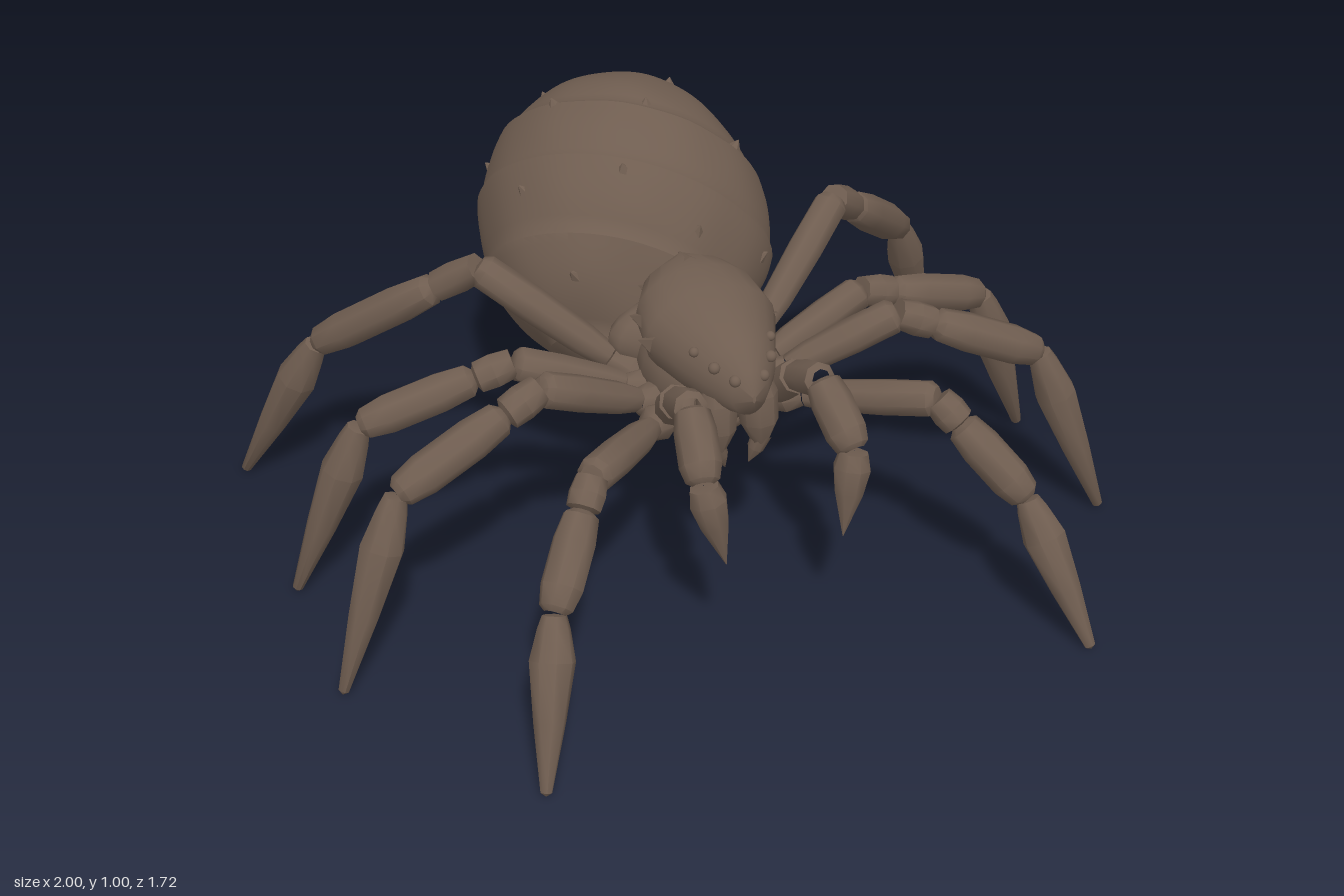
import * as THREE from 'three';
import { mergeVertices, toCreasedNormals } from 'three/addons/utils/BufferGeometryUtils.js';

const V = (x, y, z) => new THREE.Vector3(x, y, z);
const UP = V(0, 1, 0);

export function createModel() {
  const model = new THREE.Group();
  model.name = 'spider';
  const brown = new THREE.MeshStandardMaterial({ color: 0x6f5d50 });
  brown.name = 'dark brown';

  const add = (parent, geometry, name) => {
    const mesh = new THREE.Mesh(geometry, brown);
    mesh.name = name;
    parent.add(mesh);
    return mesh;
  };

  // Tapered limb segment from a to b; profile lists [fraction along, radius]
  const segment = (parent, a, b, profile, name, sides = 8) => {
    const dir = b.clone().sub(a);
    const len = dir.length();
    const pts = profile.map(([t, r]) => new THREE.Vector2(r, t * len));
    const g = toCreasedNormals(new THREE.LatheGeometry(pts, sides), 0.8);
    const mesh = add(parent, g, name);
    mesh.position.copy(a);
    mesh.quaternion.setFromUnitVectors(UP, dir.normalize());
    return mesh;
  };

  const ball = (parent, p, rx, ry, rz, name) => {
    const mesh = add(parent, new THREE.SphereGeometry(1, 16, 12), name);
    mesh.position.copy(p);
    mesh.scale.set(rx, ry, rz);
    return mesh;
  };

  const thorn = (parent, p, dir, r, h, name) =>
    segment(parent, p, p.clone().addScaledVector(dir, h), [[0, r], [1, 0.001]], name, 6);

  // Closed skin over elliptical rings [z, half width, top, bottom], front to back
  const loft = (rings, n) => {
    const pos = [], idx = [];
    rings.forEach(([z, w, top, bot]) => {
      for (let j = 0; j < n; j++) {
        const a = (j / n) * Math.PI * 2;
        pos.push(w * Math.cos(a), (top + bot) / 2 + ((top - bot) / 2) * Math.sin(a), z);
      }
    });
    for (let i = 0; i < rings.length - 1; i++) {
      for (let j = 0; j < n; j++) {
        const a = i * n + j, b = i * n + (j + 1) % n;
        idx.push(a, a + n, b, b, a + n, b + n);
      }
    }
    const g = new THREE.BufferGeometry();
    g.setAttribute('position', new THREE.Float32BufferAttribute(pos, 3));
    g.setIndex(idx);
    return toCreasedNormals(g, 0.8);
  };

  // Abdomen: shell with overlapping slanted plates, fuller low at the front and at the front sides
  const centre = V(0, 0.622, -0.452);
  const radii = V(0.352, 0.38, 0.392);
  const plateAxis = V(0.45, 0.55, -0.7).normalize();
  const bulgeAxis = V(0, -0.63, 0.78);
  const cheekAxis = V(0.83, -0.08, 0.55);
  const shellPoint = (d) => {
    const band = d.dot(plateAxis) * 2.2 + 5.07;
    const bulge = 0.13 * Math.max(0, d.dot(bulgeAxis)) ** 7;
    const cheek = 0.08 * Math.max(0, V(Math.abs(d.x), d.y, d.z).dot(cheekAxis)) ** 8;
    const dents = 0.008 * Math.sin(d.x * 9 + 1) * Math.sin(d.y * 8) * Math.cos(d.z * 7);
    const k = 0.987 + 0.03 * (band - Math.floor(band)) + bulge + cheek + dents;
    return d.clone().multiply(radii).multiplyScalar(k).add(centre);
  };
  const shell = new THREE.SphereGeometry(1, 64, 56);
  shell.deleteAttribute('uv');
  shell.deleteAttribute('normal');
  const shellGeo = mergeVertices(shell, 1e-4);
  shellGeo.applyQuaternion(new THREE.Quaternion().setFromUnitVectors(UP, plateAxis));
  const sp = shellGeo.attributes.position;
  for (let i = 0; i < sp.count; i++) {
    const p = shellPoint(V(0, 0, 0).fromBufferAttribute(sp, i).normalize());
    sp.setXYZ(i, p.x, p.y, p.z);
  }
  add(model, toCreasedNormals(shellGeo, 0.5), 'abdomen');

  // Small ragged thorns on the upper shell
  for (let i = 0; i < 14; i++) {
    const y = 0.97 - i * 0.075, a = i * 2.4 + 1;
    const r = Math.sqrt(1 - y * y);
    const d = V(r * Math.cos(a), y, r * Math.sin(a));
    const p = shellPoint(d).addScaledVector(d, -0.012);
    thorn(model, p, d.clone().add(V(0, 0.5, -0.4)).normalize(), 0.02, 0.026, 'abdomenThorn');
  }

  // Spinneret at the lower back
  segment(model, V(0, 0.47, -0.72), V(0, 0.425, -0.84),
    [[0, 0.06], [0.5, 0.05], [0.85, 0.036], [1, 0.001]], 'spinneret', 10);

  // Body core, underside and waist
  ball(model, V(0, 0.53, 0.1), 0.155, 0.135, 0.2, 'thorax');
  ball(model, V(0, 0.44, 0.1), 0.11, 0.065, 0.16, 'sternum');
  ball(model, V(0, 0.56, -0.01), 0.2, 0.1, 0.085, 'waist');

  // Carapace with a pointed front and a spiky rear rim
  add(model, loft([
    [0.405, 0.004, 0.605, 0.585], [0.38, 0.045, 0.655, 0.54], [0.32, 0.09, 0.70, 0.52],
    [0.24, 0.125, 0.73, 0.51], [0.15, 0.165, 0.755, 0.52], [0.06, 0.155, 0.765, 0.56],
    [0.0, 0.115, 0.76, 0.62], [-0.04, 0.01, 0.75, 0.7],
  ], 20), 'carapace');
  thorn(model, V(0, 0.74, 0.02), V(0, 0.1, -1).normalize(), 0.03, 0.07, 'carapaceSpike');

  const femurShape = [[0, 0.001], [0.01, 0.03], [0.2, 0.039], [0.6, 0.044], [0.95, 0.043], [1, 0.03], [1.01, 0.001]];
  const patellaShape = [[0, 0.001], [0.01, 0.037], [0.5, 0.043], [0.93, 0.04], [1, 0.024]];
  const tibiaShape = [[0, 0.024], [0.05, 0.041], [0.3, 0.049], [0.75, 0.049], [0.95, 0.039], [1, 0.024]];
  const tarsusShape = [[0, 0.001], [0.01, 0.028], [0.08, 0.037], [0.26, 0.052], [0.6, 0.036], [0.98, 0.013], [1, 0.001]];

  // Leg joints on the left: hip, knee, ankle, tip
  const legs = {
    frontLeg: [[0.14, 0.46, 0.2], [0.425, 0.545, 0.49], [0.58, 0.34, 0.665], [0.675, 0.005, 0.85]],
    secondLeg: [[0.13, 0.47, 0.15], [0.45, 0.625, 0.225], [0.815, 0.47, 0.285], [0.99, 0.005, 0.35]],
    thirdLeg: [[0.13, 0.47, 0.09], [0.45, 0.585, 0.03], [0.815, 0.47, -0.02], [0.99, 0.005, -0.075]],
    rearLeg: [[0.13, 0.47, 0.04], [0.465, 0.74, -0.17], [0.805, 0.45, -0.455], [0.985, 0.005, -0.635]],
  };

  for (const s of [1, -1]) {
    const side = s > 0 ? 'left' : 'right';
    const P = ([x, y, z]) => V(s * x, y, z);

    // Walking legs
    for (const [name, joints] of Object.entries(legs)) {
      const leg = new THREE.Group();
      leg.name = `${side} ${name}`;
      const [hip, knee, ankle, tip] = joints.map(P);
      const mid = knee.clone().lerp(ankle, 0.25);
      const coxaEnd = hip.clone().lerp(knee, 0.2);
      segment(leg, hip, coxaEnd, [[0, 0.04], [0.5, 0.046], [1, 0.028]], 'coxa');
      segment(leg, coxaEnd, knee, femurShape, 'femur');
      segment(leg, knee, mid, patellaShape, 'patella');
      segment(leg, mid, ankle, tibiaShape, 'tibia');
      segment(leg, ankle, tip, tarsusShape, 'tarsus');
      model.add(leg);
    }

    // Feelers ending in hooked claws
    const palp = new THREE.Group();
    palp.name = `${side} feeler`;
    const [p0, p1, p2, p3, p4] = [[0.13, 0.47, 0.2], [0.15, 0.57, 0.31], [0.16, 0.62, 0.42],
      [0.185, 0.5, 0.55], [0.145, 0.3, 0.59]].map(P);
    segment(palp, p0, p1, femurShape, 'feelerBase');
    segment(palp, p1, p2, patellaShape, 'feelerMiddle');
    segment(palp, p2, p3, tibiaShape, 'feelerEnd');
    segment(palp, p3, p4, [[0, 0.001], [0.02, 0.035], [0.2, 0.045], [0.5, 0.034], [1, 0.001]], 'feelerClaw');
    model.add(palp);

    // Jaws with fangs
    segment(model, P([0.05, 0.6, 0.3]), P([0.055, 0.42, 0.32]),
      [[0, 0.03], [0.3, 0.048], [0.7, 0.046], [1, 0.02]], `${side} jaw`);
    segment(model, P([0.06, 0.44, 0.32]), P([0.03, 0.36, 0.31]), [[0, 0.024], [0.5, 0.02], [1, 0.001]], `${side} fang`);

    // Eyes
    for (const [x, y, z, r] of [[0.035, 0.635, 0.375, 0.014], [0.07, 0.655, 0.335, 0.014], [0.095, 0.67, 0.275, 0.012]]) {
      ball(model, P([x, y, z]), r, r, r, `${side} eye`);
    }

    // Ragged rim of the carapace
    for (const [x, y, z] of [[0.145, 0.64, 0.17], [0.135, 0.66, 0.09], [0.09, 0.7, 0.03]]) {
      thorn(model, P([x, y, z]), V(s * 0.6, 0, -0.8), 0.03, 0.05, `${side} rimSpike`);
    }
  }
  return model;
}
